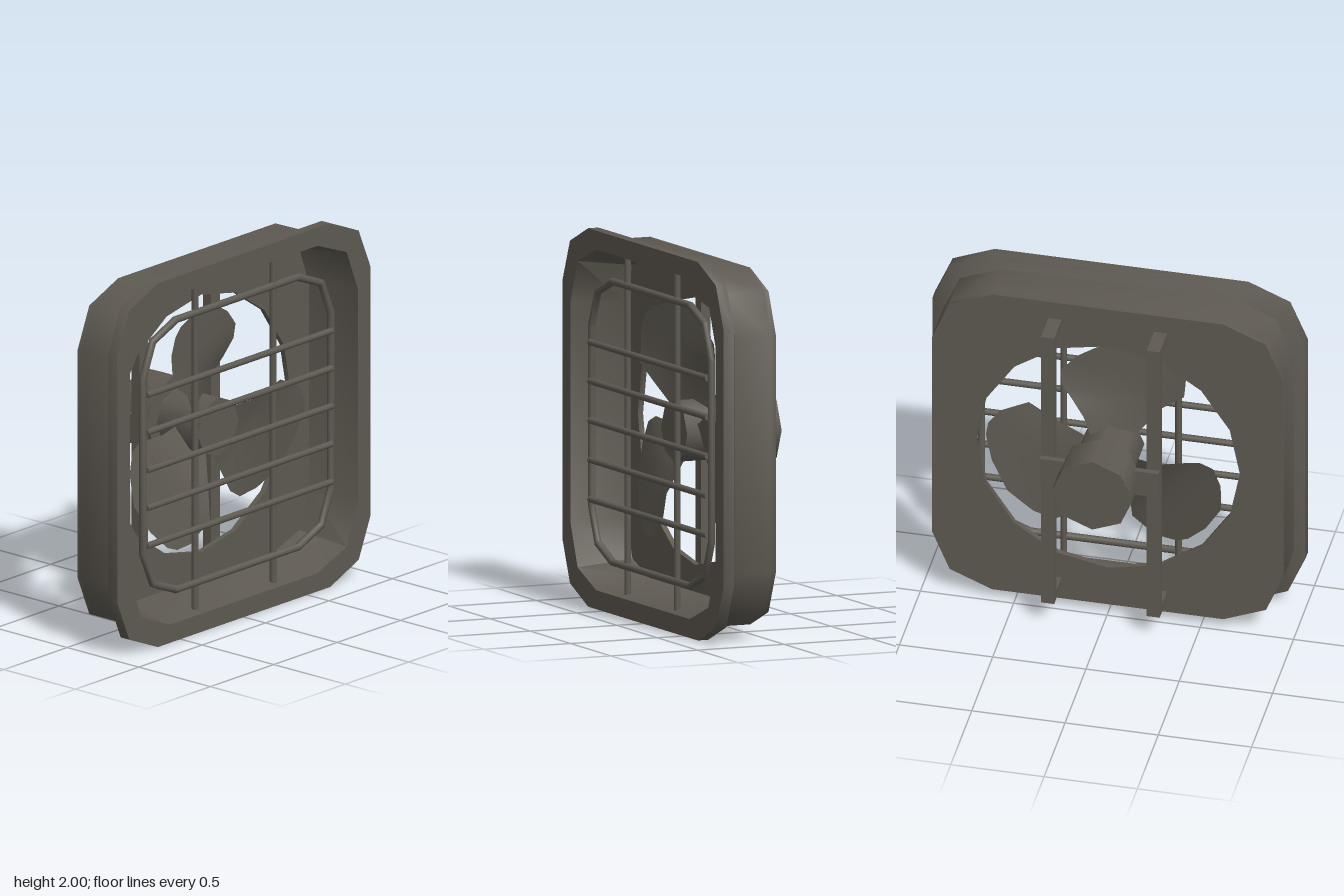
import * as THREE from 'three';
import { toCreasedNormals } from 'three/addons/utils/BufferGeometryUtils.js';

const metal = new THREE.MeshStandardMaterial({ color: 0x5e5a52 });
metal.name = 'darkWarmGrey';
const thinMetal = new THREE.MeshStandardMaterial({ color: 0x5e5a52, side: THREE.DoubleSide });
thinMetal.name = 'darkWarmGreySheet';

const CY = 1; // height of the fan axis

// Square with two-step clipped corners, counter-clockwise.
// h = half size, s = end of the straight side, m = middle of the corner
function clippedSquare(h, s, m) {
  const pts = [];
  for (let q = 0; q < 4; q++) {
    const c = [1, 0, -1, 0][q], n = [0, 1, 0, -1][q];
    for (const [x, y] of [[h, s], [m, m], [s, h]]) pts.push([x * c - y * n, x * n + y * c]);
  }
  return pts;
}

// Skin over a list of clipped squares [h, s, m, z]
function loft(rings) {
  const pos = [], idx = [], n = 12;
  for (const [h, s, m, z] of rings) for (const [x, y] of clippedSquare(h, s, m)) pos.push(x, y, z);
  for (let k = 0; k < rings.length - 1; k++) {
    for (let i = 0; i < n; i++) {
      const j = (i + 1) % n, a = k * n + i, b = k * n + j;
      idx.push(a, b, b + n, a, b + n, a + n);
    }
  }
  const g = new THREE.BufferGeometry();
  g.setAttribute('position', new THREE.Float32BufferAttribute(pos, 3));
  g.setIndex(idx);
  return toCreasedNormals(g, 0.82);
}

export function createModel() {
  const group = new THREE.Group();
  const add = (name, geo, x = 0, y = CY, z = 0, mat = metal) => {
    const mesh = new THREE.Mesh(geo, mat);
    mesh.name = name;
    mesh.position.set(x, y, z);
    group.add(mesh);
    return mesh;
  };
  const box = (name, w, h, d, x, y, z) => add(name, new THREE.BoxGeometry(w, h, d), x, y, z);

  // Housing: outer wall, bevelled flange, front rim and tapered inner wall
  add('housing', loft([
    [0.943, 0.62, 0.848, 0.05],
    [0.943, 0.62, 0.848, 0.26],
    [1, 0.68, 0.905, 0.29],
    [1, 0.68, 0.905, 0.35],
    [0.9, 0.58, 0.81, 0.35],
    [0.85, 0.565, 0.775, 0.05],
  ]));

  // Back panel with the round air opening
  const panel = new THREE.Shape(clippedSquare(0.943, 0.62, 0.848).map(p => new THREE.Vector2(...p)));
  const hole = [];
  for (let i = 0; i < 16; i++) {
    const t = -i * Math.PI / 8;
    hole.push(new THREE.Vector2(0.708 * Math.cos(t), 0.708 * Math.sin(t)));
  }
  panel.holes.push(new THREE.Path(hole));
  const panelGeo = new THREE.ExtrudeGeometry(panel, { depth: 0.03, bevelEnabled: false });
  add('backPanel', toCreasedNormals(panelGeo, 0.82), 0, CY, 0.02);

  // Grille ring
  const ring = [];
  for (let i = 0; i <= 8; i++) {
    const t = i * Math.PI / 4, d = 0.02 * Math.cos(t);
    ring.push([0.742 + d, 0.48 + d * 0.3, 0.665 + d * 0.75, 0.3 + 0.02 * Math.sin(t)]);
  }
  add('grilleRing', loft(ring));

  // Grille bars
  for (const y of [1.39, 1.184, 0.976, 0.768, 0.56]) {
    add('grilleCrossBar', new THREE.CylinderGeometry(0.018, 0.018, 1.46, 8), 0, y, 0.315).rotation.z = Math.PI / 2;
  }
  for (const x of [-0.318, 0.297]) {
    add('grilleUpright', new THREE.CylinderGeometry(0.018, 0.018, 1.79, 8), x, CY, 0.29);
  }

  // Hub and motor
  const drum = (name, r, z0, z1) => {
    add(name, new THREE.CylinderGeometry(r, r, z1 - z0, 8), 0, CY + 0.006, (z0 + z1) / 2).rotation.x = Math.PI / 2;
  };
  drum('hub', 0.163, -0.115, 0.17);
  drum('motor', 0.216, -0.35, -0.138);

  // Twisted blades: rows of [radius, left edge, right edge, centre z, slope]
  const rows = [
    [0.09, -0.12, 0.08, 0.05, 0.42],
    [0.24, -0.25, 0.13, 0.07, 0.42],
    [0.32, -0.37, 0.19, 0.09, 0.28],
    [0.41, -0.38, 0.255, 0.105, 0.21],
    [0.49, -0.385, 0.26, 0.11, 0.19],
    [0.58, -0.345, 0.18, 0.11, 0.19],
    [0.625, -0.29, 0.1, 0.11, 0.19],
    [0.662, -0.15, 0.03, 0.11, 0.19],
  ];
  const pos = [], idx = [], cols = 5;
  rows.forEach(([r, l, e, c, s], k) => {
    for (let i = 0; i < cols; i++) {
      const u = l + (e - l) * i / (cols - 1);
      pos.push(u, r, c - s * u);
      if (k && i) {
        const d = k * cols + i, b = d - cols;
        idx.push(b - 1, b, d, b - 1, d, d - 1);
      }
    }
  });
  const bladeGeo = new THREE.BufferGeometry();
  bladeGeo.setAttribute('position', new THREE.Float32BufferAttribute(pos, 3));
  bladeGeo.setIndex(idx);
  bladeGeo.computeVertexNormals();
  for (let i = 0; i < 3; i++) {
    add('fanBlade', bladeGeo, 0, CY, 0, thinMetal).rotation.z = i * Math.PI * 2 / 3;
  }

  // Motor brackets: upright, two feet and a tab reaching the motor
  for (const side of [-1, 1]) {
    const x = side * 0.283;
    box('bracketBar', 0.07, 1.7, 0.055, x, 0.99, -0.1275);
    for (const y of [1.815, 0.165]) box('bracketFoot', 0.07, 0.05, 0.122, x, y, -0.04);
    box('motorTab', 0.13, 0.15, 0.032, side * 0.253, 1.006, -0.171);
  }

  return group;
}
